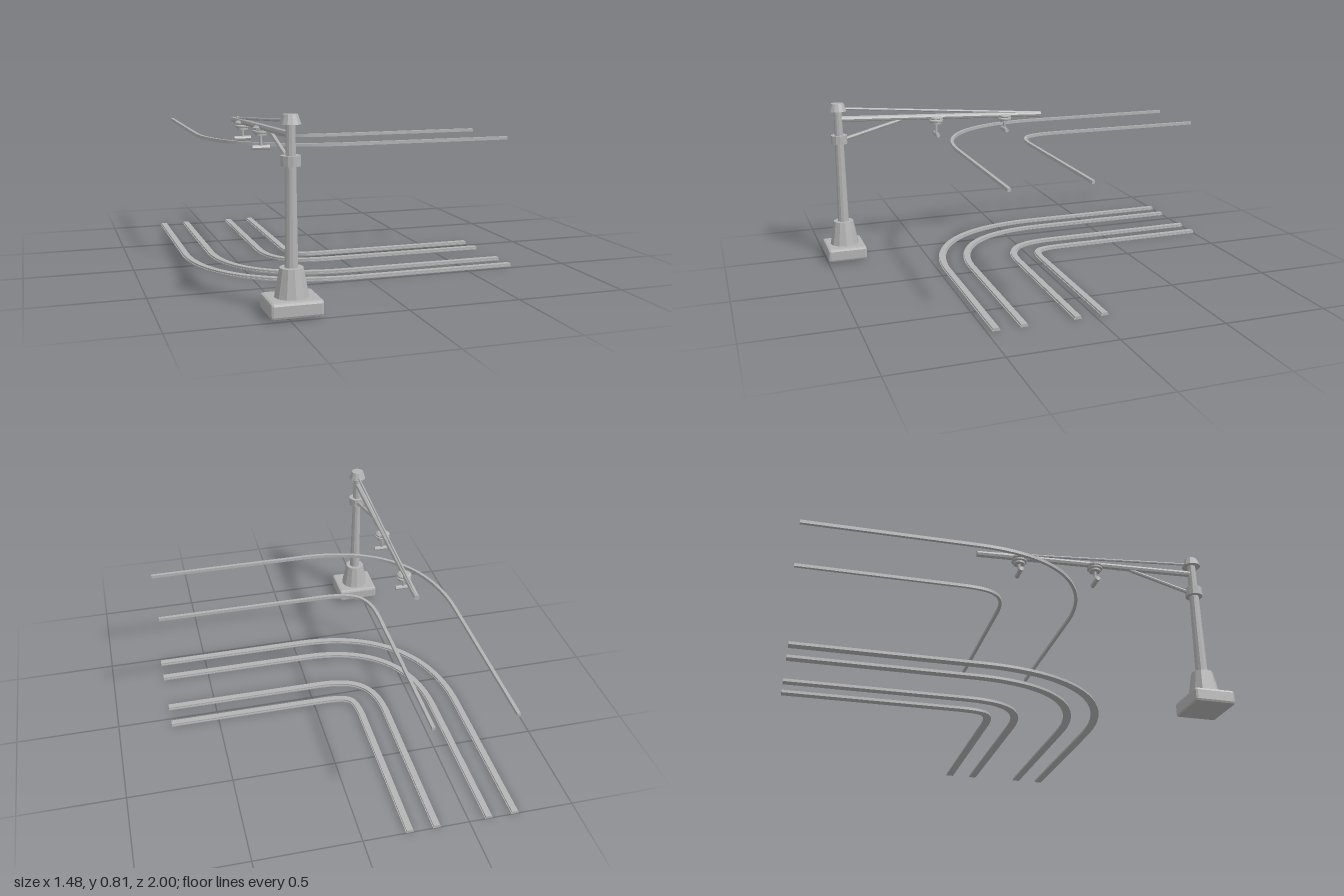
import * as THREE from 'three';
import { RoundedBoxGeometry } from 'three/addons/geometries/RoundedBoxGeometry.js';

const metal = new THREE.MeshStandardMaterial({ color: 0xb4b4b4, flatShading: true });
metal.name = 'grey metal';

// Bend centre and far ends of both tracks
const BX = -0.045, BZ = -0.216, END_X = 0.738, END_Z = -1;
const POST_X = -0.47, POST_Z = 0.9;

function add(parent, name, geometry, x = 0, y = 0, z = 0) {
  const mesh = new THREE.Mesh(geometry, metal);
  mesh.name = name;
  mesh.position.set(x, y, z);
  parent.add(mesh);
  return mesh;
}

// Straight round bar between two points
function rod(parent, name, a, b, radius, sides = 8) {
  const from = new THREE.Vector3(...a), to = new THREE.Vector3(...b);
  const dir = to.clone().sub(from);
  const mesh = add(parent, name, new THREE.CylinderGeometry(radius, radius, dir.length(), sides));
  mesh.position.copy(from).add(to).multiplyScalar(0.5);
  mesh.quaternion.setFromUnitVectors(new THREE.Vector3(0, 1, 0), dir.normalize());
}

// Plan line parallel to a track's centre line: straight, eased bend, straight
function planLine(size, handle, offset) {
  const x = BX - size, y = -BZ - size;
  const bend = new THREE.CubicBezierCurve(
    new THREE.Vector2(x, -BZ), new THREE.Vector2(x, -BZ - handle),
    new THREE.Vector2(BX - handle, y).setX(BX - handle), new THREE.Vector2(BX, y),
  );
  const points = [new THREE.Vector2(x + offset, -END_Z)];
  for (let i = 0; i <= 28; i++) {
    const t = bend.getTangent(i / 28), p = bend.getPoint(i / 28);
    points.push(new THREE.Vector2(p.x - t.y * offset, p.y + t.x * offset));
  }
  points.push(new THREE.Vector2(END_X, y + offset));
  return points;
}

// Strip of rectangular section along a track
function strip(parent, name, { size, handle }, offset, halfWidth, y0, y1) {
  const outer = planLine(size, handle, offset - halfWidth);
  const inner = planLine(size, handle, offset + halfWidth).reverse();
  const shape = new THREE.Shape([...outer, ...inner]);
  const g = new THREE.ExtrudeGeometry(shape, { depth: y1 - y0, bevelEnabled: false });
  add(parent, name, g.rotateX(-Math.PI / 2), 0, y0, 0);
}

// Ribbed insulator with a stem and a cross bar that grips the wire
function hanger(parent, z, armY) {
  const group = new THREE.Group();
  group.name = 'wireHanger';
  const profile = [
    [0, -0.037], [0.027, -0.037], [0.027, -0.028], [0.036, -0.024], [0.036, -0.017],
    [0.026, -0.014], [0.036, -0.01], [0.036, -0.003], [0.026, 0.004], [0, 0.004],
  ].map(([x, y]) => new THREE.Vector2(x, y));
  add(group, 'insulator', new THREE.LatheGeometry(profile, 16), POST_X, armY, z);
  rod(group, 'hangerStem', [POST_X, armY - 0.03, z], [POST_X, 0.613, z], 0.007);
  rod(group, 'wireClamp', [POST_X - 0.04, 0.613, z], [POST_X + 0.04, 0.613, z], 0.011);
  parent.add(group);
}

export function createModel() {
  const model = new THREE.Group();

  // Two curved tracks, each with two footed rails and an overhead wire
  for (const track of [{ size: 0.236, handle: 0.186 }, { size: 0.611, handle: 0.386 }]) {
    const group = new THREE.Group();
    group.name = 'track';
    for (const side of [-1, 1]) {
      strip(group, 'railFoot', track, side * 0.0635, 0.0185, 0, 0.006);
      strip(group, 'railHead', track, side * 0.0635, 0.0145, 0.006, 0.014);
    }
    strip(group, 'overheadWire', track, 0, 0.0075, 0.606, 0.621);
    model.add(group);
  }

  // Post with base, pedestal, collar and cap
  const post = new THREE.Group();
  post.name = 'post';
  post.position.set(POST_X, 0, POST_Z);
  add(post, 'baseBlock', new RoundedBoxGeometry(0.22, 0.068, 0.196, 1, 0.012), 0, 0.04, 0.001);
  const stack = [
    ['pedestal', 0.05, 0.073, 0.07, 0.193],
    ['shaft', 0.02, 0.028, 0.19, 0.77],
    ['collar', 0.041, 0.041, 0.6, 0.643],
    ['cap', 0.031, 0.044, 0.766, 0.805],
  ];
  for (const [name, top, bottom, y0, y1] of stack) {
    add(post, name, new THREE.CylinderGeometry(top, bottom, y1 - y0, 12), 0, (y0 + y1) / 2, 0);
  }
  model.add(post);

  // Long arm with tie rod above and brace below
  const arm = new THREE.Group();
  arm.name = 'arm';
  rod(arm, 'armBeam', [POST_X, 0.724, 0.885], [POST_X, 0.684, -0.183], 0.0145);
  rod(arm, 'tieRod', [POST_X, 0.778, 0.885], [POST_X, 0.692, -0.17], 0.006);
  rod(arm, 'brace', [POST_X, 0.62, 0.875], [POST_X, 0.702, 0.575], 0.009);
  hanger(arm, 0.395, 0.705);
  hanger(arm, 0.02, 0.692);
  model.add(arm);

  return model;
}
